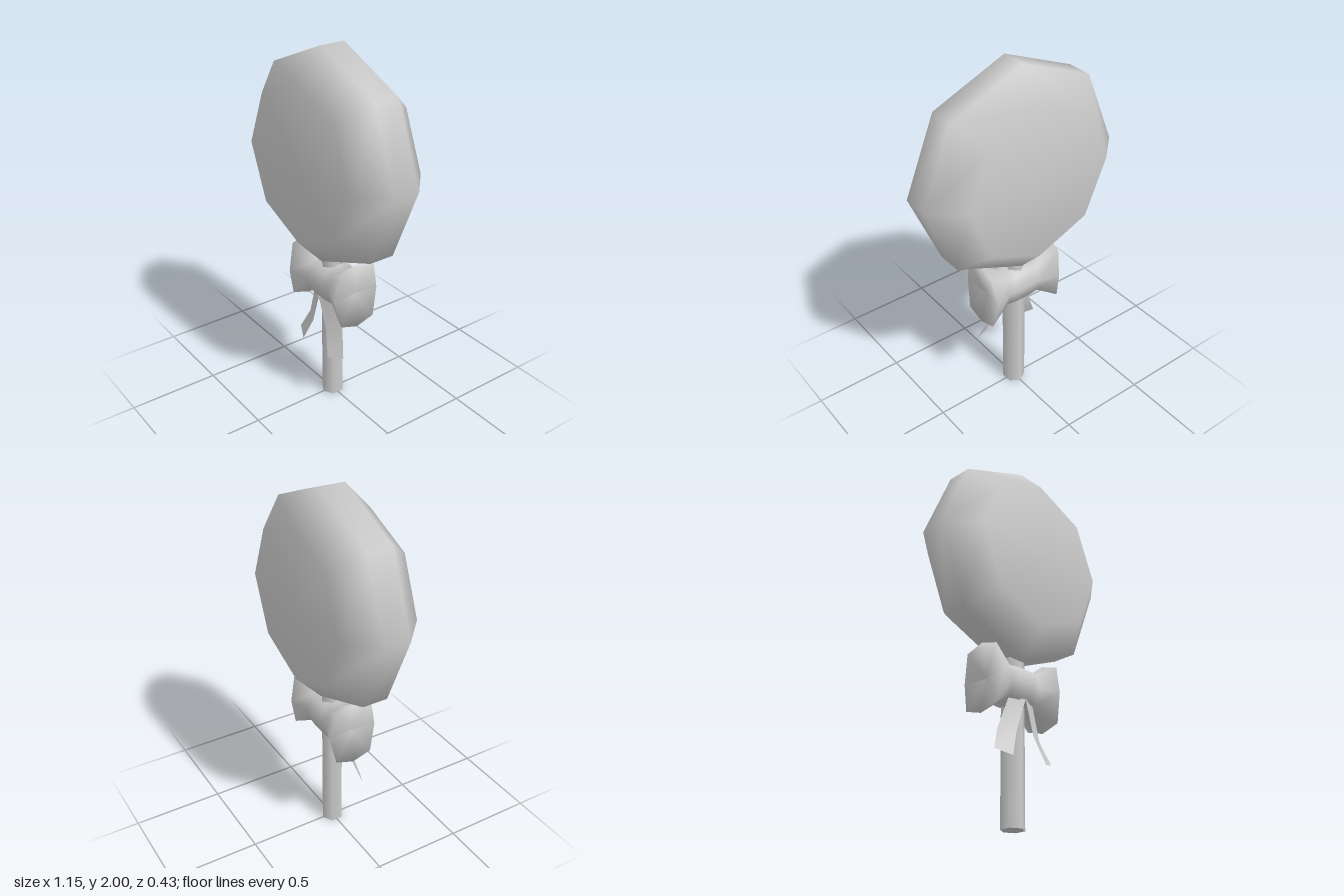
import * as THREE from 'three';

const material = new THREE.MeshStandardMaterial({ color: 0xcccccc });
const ribbonMaterial = new THREE.MeshStandardMaterial({ color: 0xcccccc, side: THREE.DoubleSide });

function addMesh(group, name, geometry, mat = material) {
  const mesh = new THREE.Mesh(geometry, mat);
  mesh.name = name;
  group.add(mesh);
  return mesh;
}

// Joins rows of [x, y, z] points into one smooth surface
function loft(rows, closed) {
  const n = rows[0].length;
  const index = [];
  for (let r = 0; r < rows.length - 1; r++) {
    for (let i = 0; i < (closed ? n : n - 1); i++) {
      const j = (i + 1) % n;
      const a = r * n + i, b = r * n + j, c = a + n, d = b + n;
      index.push(a, b, c, b, d, c);
    }
  }
  const geometry = new THREE.BufferGeometry();
  geometry.setAttribute('position', new THREE.Float32BufferAttribute(rows.flat(2), 3));
  geometry.setIndex(index);
  geometry.computeVertexNormals();
  return geometry;
}

// Eight-sided bow section: corners bulge out, and the sides can sit further in
function bowRing(x, sideX, top, shoulder, depth) {
  const ring = [];
  for (let i = 0; i < 8; i++) {
    const s = Math.sin(i * Math.PI / 4), c = Math.cos(i * Math.PI / 4);
    const diagonal = i % 2 === 1;
    const onSide = i % 4 === 2;
    const y = diagonal ? Math.sign(c) * shoulder : c * top;
    const z = diagonal ? Math.sign(s) * depth * 0.76 : s * depth;
    ring.push([onSide ? sideX : x, 0.72 + y, z]);
  }
  return ring;
}

export function createModel() {
  const group = new THREE.Group();

  // Octagonal candy with bevelled rim, turned to face the front
  const profile = [[0, -0.215], [0.42, -0.215], [0.575, -0.07], [0.575, 0.07], [0.42, 0.215], [0, 0.215]]
    .map(([r, y]) => new THREE.Vector2(r, y));
  const candy = addMesh(group, 'candy', new THREE.LatheGeometry(profile, 8));
  candy.rotation.x = Math.PI / 2;
  candy.position.y = 1.425;

  // Six-sided stick
  const stick = addMesh(group, 'stick', new THREE.CylinderGeometry(0.062, 0.062, 1, 6));
  stick.position.y = 0.5;

  // Bow: flared loops either side of a narrow waist, ends closed inward
  const half = [
    [0.19, 0.19, 0, 0, 0],
    [0.22, 0.205, 0.187, 0.155, 0.138],
    [0.1, 0.1, 0.095, 0.08, 0.1],
    [0.045, 0.045, 0.115, 0.085, 0.105],
  ];
  const rings = [
    ...half.map(([x, sideX, ...rest]) => bowRing(-x, -sideX, ...rest)),
    ...half.slice().reverse().map((p) => bowRing(...p)),
  ];
  addMesh(group, 'bow', loft(rings, true));

  // Two ribbon tails, tilted and curling forward at the tips
  const tail = [
    [[0, 0.64, 0.09], [0.085, 0.64, 0.055]],
    [[0.06, 0.46, 0.085], [0.15, 0.46, 0.042]],
    [[0.115, 0.32, 0.116], [0.2, 0.345, 0.074]],
  ];
  for (const [side, name] of [[1, 'leftRibbonTail'], [-1, 'rightRibbonTail']]) {
    const rows = tail.map((row) => {
      const points = row.map(([x, y, z]) => [x * side, y, z]);
      return side > 0 ? points.reverse() : points;
    });
    // Reversed on the left so both tails face forward
    addMesh(group, name, loft(rows.map((row) => row.slice().reverse()), false), ribbonMaterial);
  }

  return group;
}
